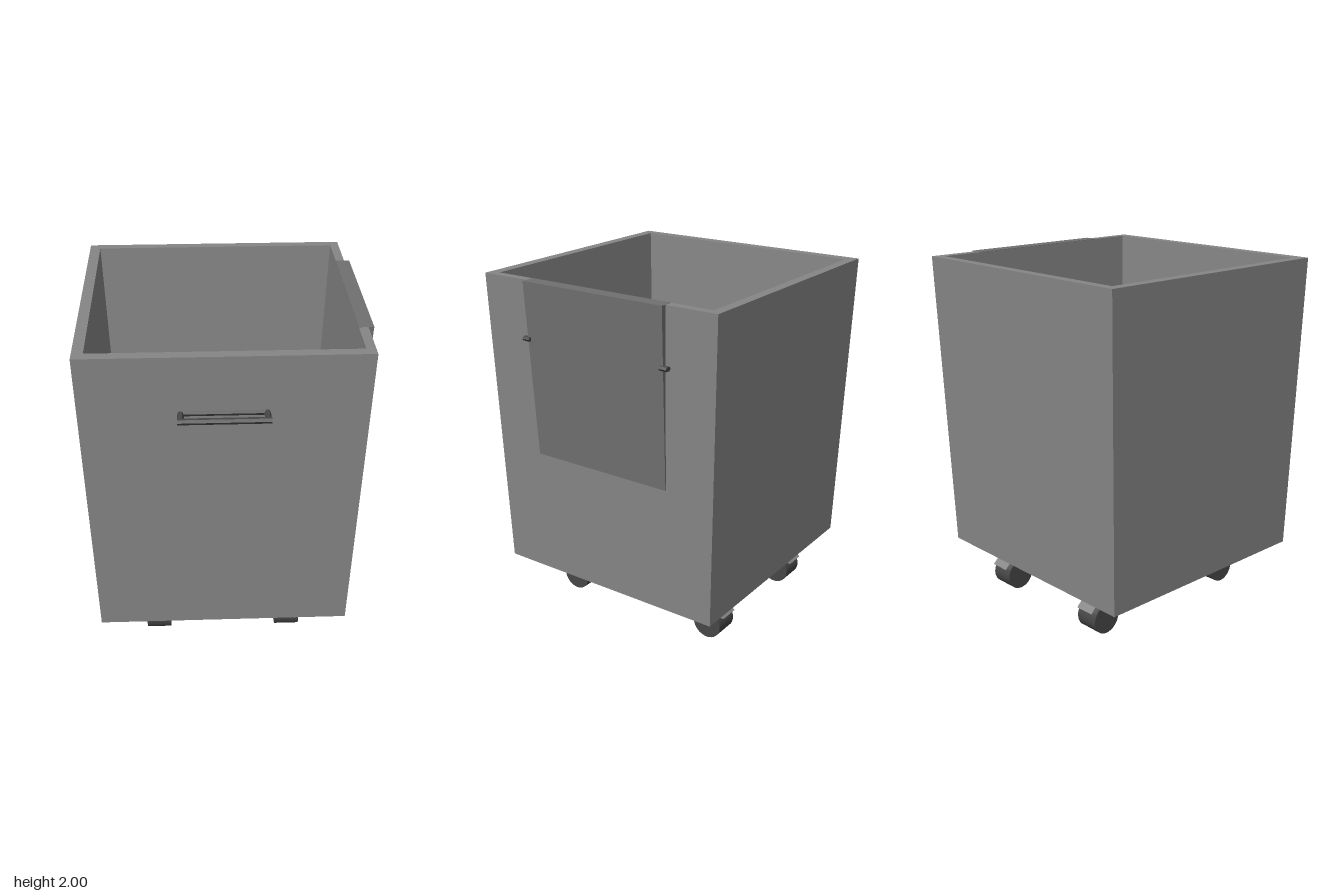
import * as THREE from 'three';

const shell = new THREE.MeshStandardMaterial({ color: 0x868686, flatShading: true });
const panel = new THREE.MeshStandardMaterial({ color: 0x707070, flatShading: true });
const dark = new THREE.MeshStandardMaterial({ color: 0x474747, flatShading: true });
const rubber = new THREE.MeshStandardMaterial({ color: 0x474747 });

function add(parent, name, geometry, material, x = 0, y = 0, z = 0) {
  const mesh = new THREE.Mesh(geometry, material);
  mesh.name = name;
  mesh.position.set(x, y, z);
  parent.add(mesh);
  return mesh;
}

// Skin a series of horizontal rectangles [y, x0, x1, z0, z1], capped at both ends
function loftRects(rects) {
  const rings = rects.map(([y, x0, x1, z0, z1]) => [[x0, y, z1], [x1, y, z1], [x1, y, z0], [x0, y, z0]]);
  const pos = [];
  const quad = (a, b, c, d) => pos.push(...a, ...b, ...c, ...a, ...c, ...d);
  for (let r = 0; r < rings.length - 1; r++) {
    for (let i = 0; i < 4; i++) {
      const j = (i + 1) % 4;
      quad(rings[r][i], rings[r][j], rings[r + 1][j], rings[r + 1][i]);
    }
  }
  quad(...[...rings[0]].reverse());
  quad(...rings[rings.length - 1]);
  const geometry = new THREE.BufferGeometry();
  geometry.setAttribute('position', new THREE.Float32BufferAttribute(pos, 3));
  geometry.computeVertexNormals();
  return geometry;
}

// Horizontal six-sided bar along x, its side ridges pointing to +z and -z
function hexBar(radius, length) {
  return new THREE.CylinderGeometry(radius, radius, length, 6).rotateZ(Math.PI / 2);
}

// Swivel caster: slanted fork and wheel, origin on the ground below the stem
function createCaster(wheelZ) {
  const caster = new THREE.Group();
  caster.name = 'caster';
  const profile = [[0.071, 0.32], [0.071, 0.215], [-0.01, 0.146], [-0.14, 0.146], [-0.071, 0.212], [-0.071, 0.32]];
  const shape = new THREE.Shape(profile.map(([z, y]) => new THREE.Vector2(z, y)));
  const fork = new THREE.ExtrudeGeometry(shape, { depth: 0.118, bevelEnabled: false });
  fork.translate(0, 0, -0.059).rotateY(-Math.PI / 2);
  add(caster, 'casterFork', fork, shell);
  const wheel = new THREE.CylinderGeometry(0.088, 0.088, 0.142, 32).rotateZ(Math.PI / 2);
  add(caster, 'casterWheel', wheel, rubber, 0, 0.088, wheelZ);
  return caster;
}

export function createModel() {
  const model = new THREE.Group();
  model.name = 'rollingBin';

  // Tapered open bin: underside recess, outer wall, rim, inner wall, floor
  add(model, 'binBody', loftRects([
    [0.32, -0.55, 0.51, -0.57, 0.49],
    [0.26, -0.55, 0.51, -0.57, 0.49],
    [0.26, -0.73, 0.69, -0.75, 0.668],
    [2, -0.773, 0.737, -0.798, 0.711],
    [2, -0.713, 0.687, -0.743, 0.651],
    [0.37, -0.655, 0.63, -0.69, 0.59],
  ]), shell);

  // Wedge-shaped flap set into the side wall and leaning out at the top
  add(model, 'sidePanel', loftRects([
    [0.997, 0.67, 0.714, -0.477, 0.395],
    [2.001, 0.687, 0.767, -0.495, 0.409],
  ]), panel);

  // Small catches at the panel edges
  for (const z of [0.409, -0.497]) {
    const catchBar = hexBar(0.021, 0.046).scale(1, 0.65, 1).rotateY(Math.PI / 2);
    add(model, 'panelCatch', catchBar, dark, 0.749, 1.68, z);
  }

  // Frame-shaped pull handle on the front, its back bar let into the wall
  const handle = new THREE.Group();
  handle.name = 'frontHandle';
  handle.position.set(-0.021, 1.677, 0);
  add(handle, 'handleGrip', hexBar(0.017, 0.476), dark, 0, 0, 0.783);
  add(handle, 'handleBackBar', hexBar(0.017, 0.476), dark, 0, 0, 0.695);
  for (const side of [-1, 1]) {
    add(handle, 'handleArm', hexBar(0.017, 0.1).rotateY(Math.PI / 2), dark, side * 0.221, 0, 0.735);
  }
  model.add(handle);

  // Four casters
  for (const x of [-0.404, 0.371]) {
    for (const [z, wheelZ] of [[0.455, -0.064], [-0.535, -0.036]]) {
      const caster = createCaster(wheelZ);
      caster.position.set(x, 0, z);
      model.add(caster);
    }
  }
  return model;
}
